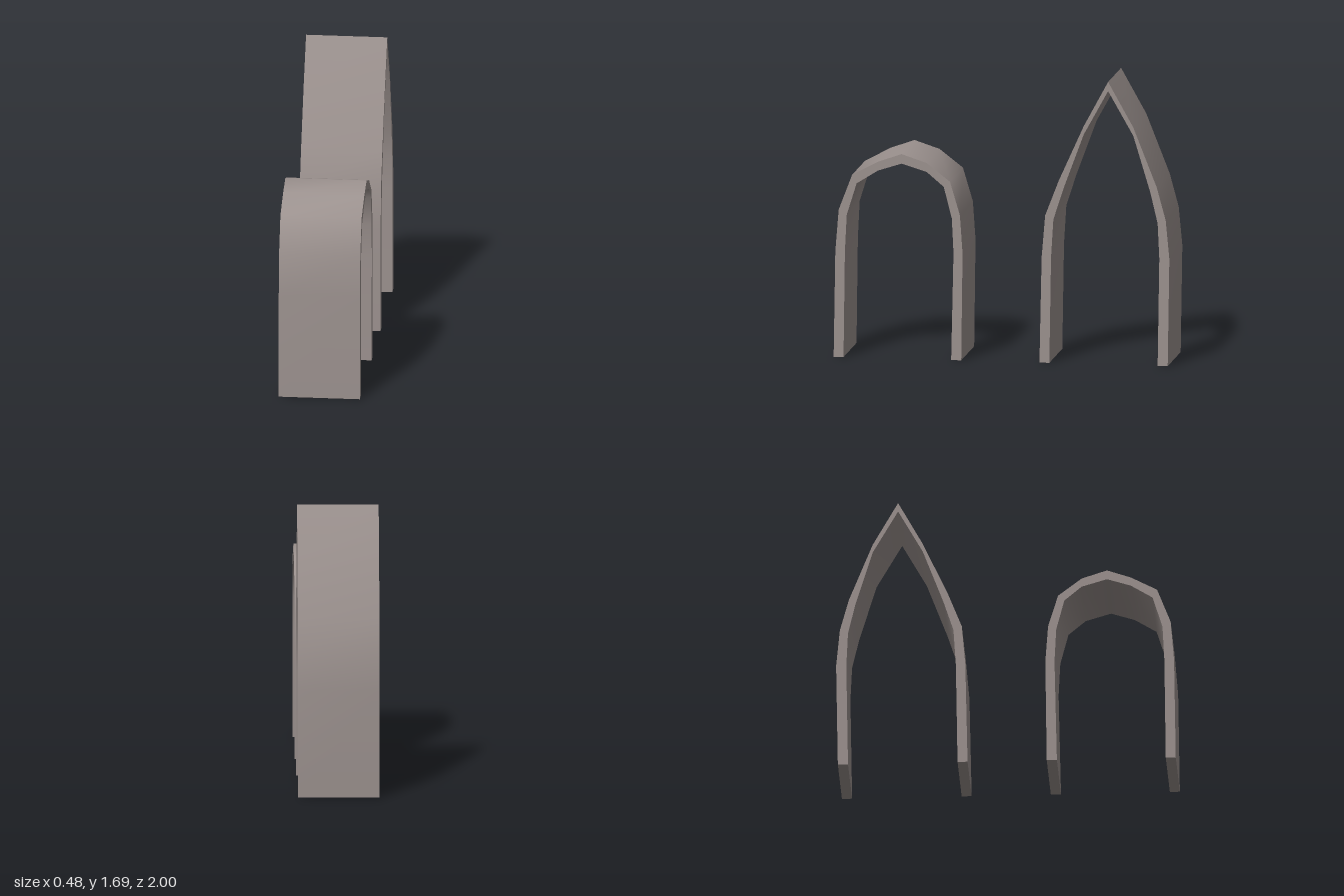
import * as THREE from 'three';
import { toCreasedNormals } from 'three/addons/utils/BufferGeometryUtils.js';

const WIDTH = 0.48;

// Sweeps a closed arch profile, given as [z, y] corners, across the x axis.
function makeArch(name, outer, inner, material) {
  const shape = new THREE.Shape([...outer, ...inner].map(([z, y]) => new THREE.Vector2(z, y)));
  const geometry = new THREE.ExtrudeGeometry(shape, { depth: WIDTH, bevelEnabled: false });
  geometry.translate(0, 0, -WIDTH / 2);
  geometry.rotateY(-Math.PI / 2);
  // Smooth along the curve, sharp at the rims and feet
  const mesh = new THREE.Mesh(toCreasedNormals(geometry, 1.2), material);
  mesh.name = name;
  return mesh;
}

export function createModel() {
  const group = new THREE.Group();
  group.name = 'arches';
  const stone = new THREE.MeshStandardMaterial({ color: 0x9b918e });
  stone.name = 'warm grey stone';

  // Low rounded arch at the front: outside from front foot to back foot, then inside back again
  group.add(makeArch('roundArch',
    [[1, 0], [0.99, 0.63], [0.97, 0.88], [0.89, 1.09], [0.735, 1.173], [0.595, 1.222],
      [0.446, 1.173], [0.307, 1.065], [0.248, 0.867], [0.232, 0.64], [0.24, 0]],
    [[0.3, 0], [0.286, 0.64], [0.296, 0.846], [0.344, 1.033], [0.446, 1.12], [0.595, 1.165],
      [0.735, 1.12], [0.863, 1.04], [0.922, 0.85], [0.933, 0.63], [0.941, 0]], stone));

  // Tall pointed arch at the back
  group.add(makeArch('pointedArch',
    [[-0.226, 0], [-0.239, 0.63], [-0.26, 0.88], [-0.341, 1.09], [-0.49, 1.42], [-0.635, 1.688],
      [-0.785, 1.42], [-0.925, 1.065], [-0.978, 0.87], [-1, 0.64], [-0.99, 0]],
    [[-0.93, 0], [-0.94, 0.64], [-0.93, 0.85], [-0.887, 1.033], [-0.785, 1.37], [-0.635, 1.633],
      [-0.49, 1.37], [-0.368, 1.04], [-0.309, 0.857], [-0.295, 0.63], [-0.285, 0]], stone));

  return group;
}
